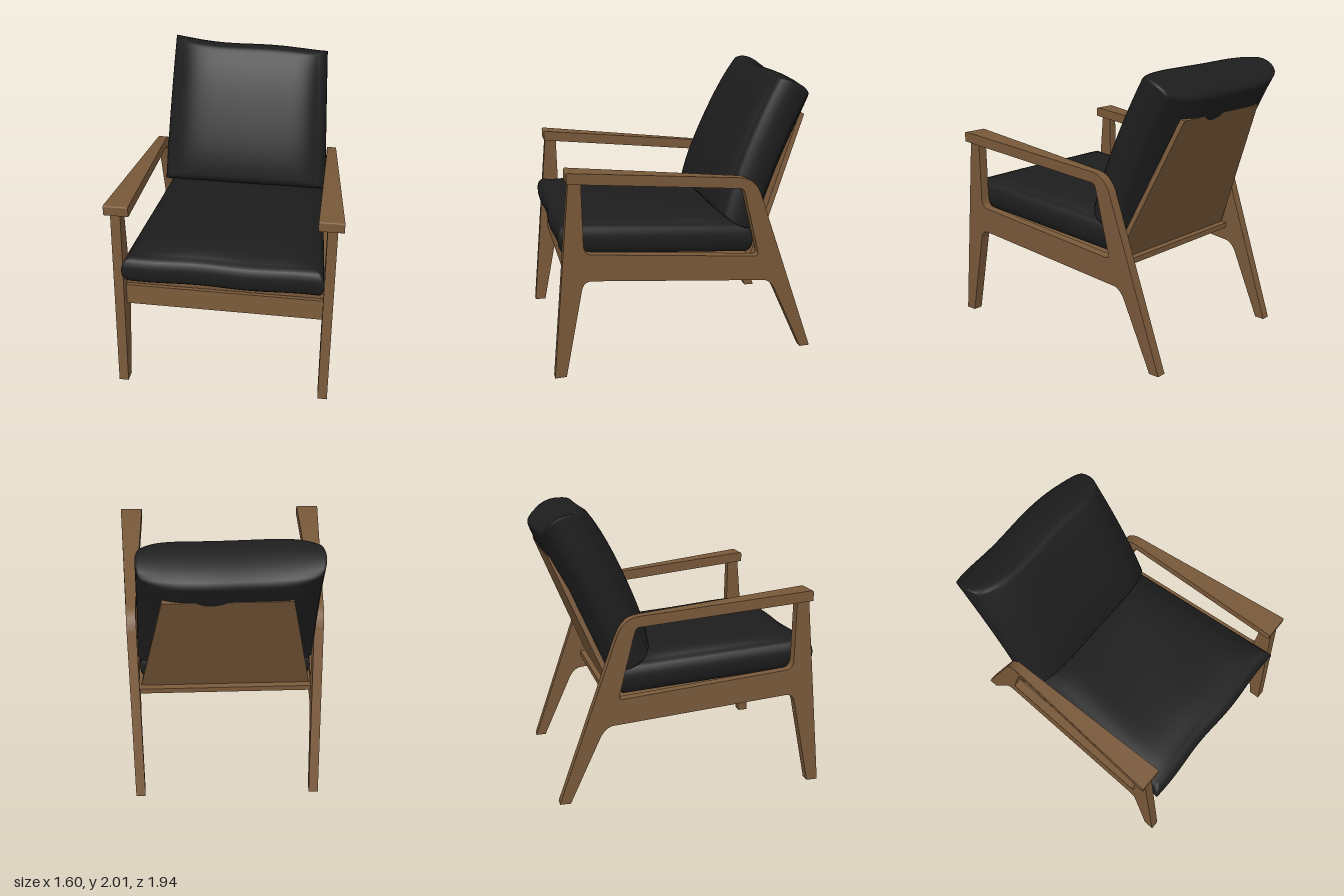
import * as THREE from 'three';
import { mergeVertices, toCreasedNormals } from 'three/addons/utils/BufferGeometryUtils.js';

const wood = new THREE.MeshStandardMaterial({ color: 0x785839 });
wood.name = 'walnut wood';
const fabric = new THREE.MeshStandardMaterial({ color: 0x1d1d1d });
fabric.name = 'black upholstery';

// Shape in the (z, y) plane: [z, y] is a line, [cz, cy, z, y] a curve
function sideShape(points) {
  const shape = new THREE.Shape();
  points.forEach((p, i) => {
    if (i === 0) shape.moveTo(...p);
    else if (p.length === 4) shape.quadraticCurveTo(...p);
    else shape.lineTo(...p);
  });
  return shape;
}

// Extrudes a side profile across x; span(z, y) gives its two x limits
function woodPart(name, points, span) {
  const geo = new THREE.ExtrudeGeometry(sideShape(points), { depth: 2, bevelEnabled: false, curveSegments: 8 });
  const pos = geo.attributes.position;
  for (let i = 0; i < pos.count; i++) {
    const z = pos.getX(i), y = pos.getY(i), t = 1 - pos.getZ(i);
    const [a, b] = span(z, y);
    pos.setXYZ(i, (a + b) / 2 + t * (b - a) / 2, y, z);
  }
  const mesh = new THREE.Mesh(toCreasedNormals(geo, 0.5), wood);
  mesh.name = name;
  return mesh;
}

// Soft cushion: a cube with rounded rim and puffed faces, placed by a rule
function cushion(name, inset, place) {
  const box = new THREE.BoxGeometry(2, 2, 2, 28, 10, 28);
  box.deleteAttribute('normal');
  box.deleteAttribute('uv');
  const geo = mergeVertices(box);
  const pos = geo.attributes.position;
  for (let i = 0; i < pos.count; i++) {
    const w = Math.sin(pos.getY(i) * Math.PI / 2);
    const shrink = 1 - inset * (1 - Math.sqrt(Math.max(0, 1 - w * w)));
    const u = Math.sin(pos.getX(i) * 1.3) / Math.sin(1.3);
    const v = Math.sin(pos.getZ(i) * 1.3) / Math.sin(1.3);
    pos.setXYZ(i, ...place(u * shrink, w, v * shrink, u, v));
  }
  geo.computeVertexNormals();
  const mesh = new THREE.Mesh(geo, fabric);
  mesh.name = name;
  return mesh;
}

// The side frames splay outward toward the front
const frameX = (z) => 0.683 + 0.0495 * z;
const HALF = 0.034;
const mirrored = (side, a, b) => (side > 0 ? [a, b] : [-b, -a]);

export function createModel() {
  const chair = new THREE.Group();
  chair.name = 'armchair';

  for (const [side, label] of [[1, 'left'], [-1, 'right']]) {
    // Front leg, side rail and back leg in one piece
    chair.add(woodPart(label + 'SideFrame', [
      [0.965, 0], [0.835, 1.39], [0.752, 1.39], [0.745, 0.94],
      [0.742, 0.872, 0.69, 0.867], [-0.47, 0.744],
      [-0.51, 0.738, -0.5, 0.775], [-0.395, 1.2], [-0.51, 1.2],
      [-0.93, 0], [-0.855, 0], [-0.64, 0.47],
      [-0.605, 0.545, -0.55, 0.555], [0.69, 0.68],
      [0.75, 0.686, 0.763, 0.62], [0.885, 0],
    ], (z) => mirrored(side, frameX(z) - HALF, frameX(z) + HALF)));

    // Armrest, widening to the front and bending down into the back leg
    chair.add(woodPart(label + 'Armrest', [
      [0.85, 1.373], [0.85, 1.432], [0.85, 1.446, 0.835, 1.445], [-0.36, 1.322],
      [-0.465, 1.31, -0.51, 1.2], [-0.395, 1.2],
      [-0.385, 1.25, -0.345, 1.247],
    ], (z) => {
      const k = THREE.MathUtils.clamp((z + 0.36) / 1.21, 0, 1);
      const c = frameX(Math.min(z, -0.36));
      return mirrored(side, THREE.MathUtils.lerp(c - HALF, 0.63, k), THREE.MathUtils.lerp(c + HALF, 0.8, k));
    }));
  }

  // Seat board and front rail between the frames
  const between = (z) => [-(frameX(z) - 0.03), frameX(z) - 0.03];
  chair.add(woodPart('seatBoard', [
    [0.815, 0.835], [0.815, 0.795], [-0.54, 0.655], [-0.54, 0.695],
  ], between));
  chair.add(woodPart('frontRail', [
    [0.845, 0.635], [0.832, 0.788], [0.795, 0.788], [0.805, 0.635],
  ], between));

  // Tapered back panel
  chair.add(woodPart('backPanel', [
    [-0.918, 1.695], [-0.885, 1.708], [-0.465, 0.715], [-0.5, 0.7],
  ], (z, y) => {
    const w = 0.42 + (1.7 - y) * 0.195;
    return [-w, w];
  }));

  // Seat cushion: v runs back to front, w is thickness
  chair.add(cushion('seatCushion', 0.085, (u, w, v, u0, v0) => {
    const z = 0.21 + 0.7 * v + 0.008 * Math.sin(u * 6) * v;
    const mid = 0.908 + 0.06 * v;
    const puff = (1 - u0 ** 8) * (1 - v0 ** 6);
    const up = 0.095 + 0.065 * puff + 0.006 * Math.sin(u * 5 + v * 3) * puff;
    const down = 0.11 + 0.012 * puff;
    return [u * (0.655 + 0.04 * v), mid + w * (w > 0 ? up : down), z];
  }));

  // Back cushion: v runs bottom to top, w points backward
  chair.add(cushion('backCushion', 0.1, (u, w, v, u0, v0) => {
    const puff = (1 - u0 ** 6) * (1 - 0.3 * v0 ** 4);
    const thick = 0.13 + 0.078 * puff;
    const bow = 0.035 * (1 - v * v);
    const top = (v + 1) / 2;
    const wobble = Math.sin(u * 4 + 3.4) * 0.012;
    const z = -0.605 - 0.225 * v + bow - 0.91 * w * thick + top * (0.025 * u + wobble);
    const y = 1.452 + 0.5 * v - 0.42 * w * thick + top * (0.012 * u * u - 0.018 * u - wobble * 0.4);
    return [-0.004 - 0.012 * top + u * (0.618 - 0.022 * v), y, z];
  }));

  return chair;
}
